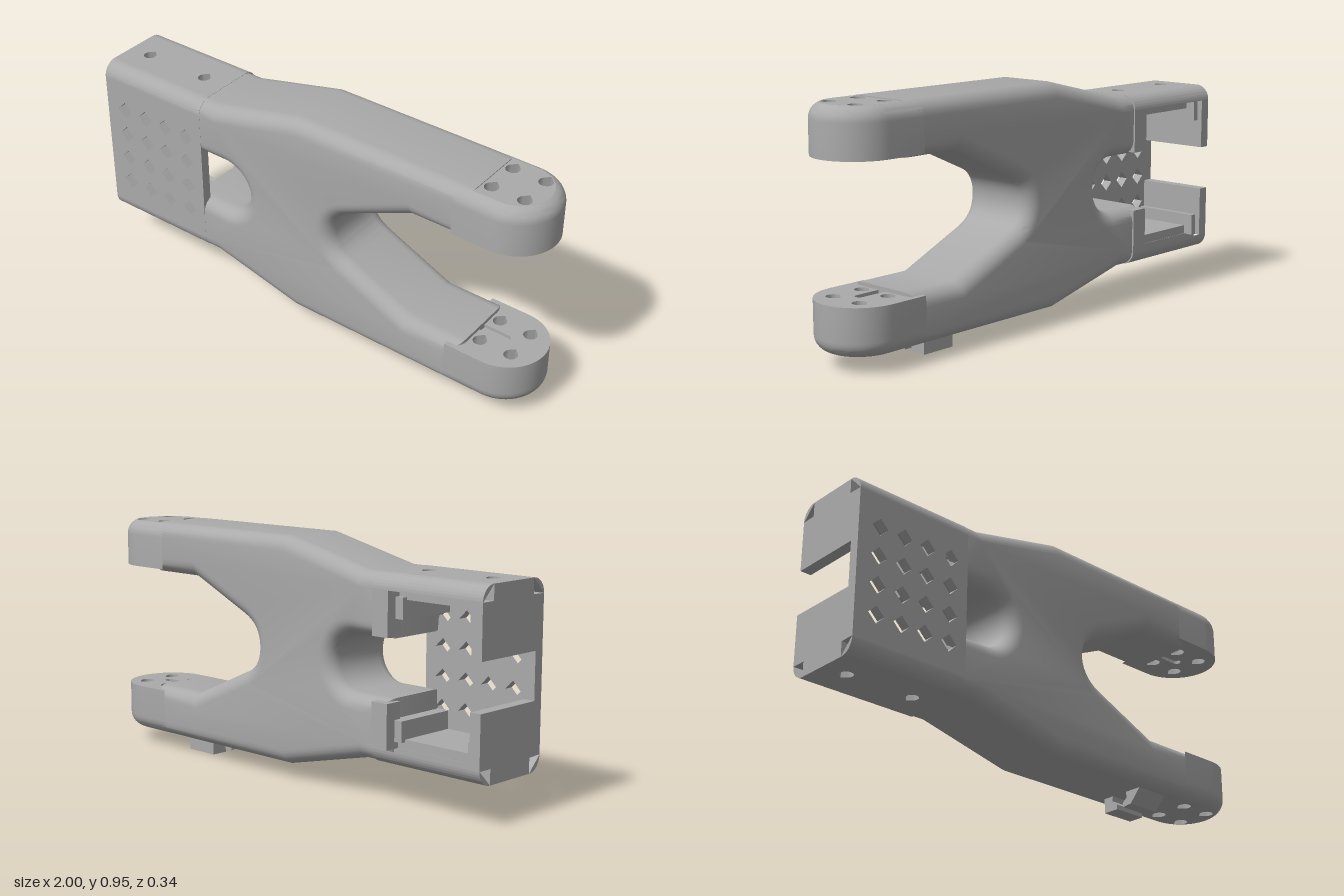
import * as THREE from 'three';
import { toCreasedNormals } from 'three/addons/utils/BufferGeometryUtils.js';

const MID = 0.505;      // height of the horizontal mirror plane
const ZC = 0.0025;      // middle of the body depth
const HALF = 0.168;     // half depth of the body
const R = 0.06;         // edge rounding
const TIP_X = 0.832;    // centre of the rounded arm tip
const TIP_START = 0.67;

const grey = new THREE.MeshStandardMaterial({ color: 0xaaaaaa });
grey.name = 'grey plastic';

export function createModel() {
  const model = new THREE.Group();
  model.name = 'forkedBracket';

  const add = (name, geo) => {
    const mesh = new THREE.Mesh(toCreasedNormals(geo, 0.5), grey);
    mesh.name = name;
    model.add(mesh);
  };

  // Copy flipped over the mirror plane, with the corner order put right
  const flipped = (geo) => {
    const g = geo.index ? geo.toNonIndexed() : geo.clone();
    const p = g.attributes.position;
    for (let i = 0; i < p.count; i += 3) {
      const b = [p.getX(i + 1), p.getY(i + 1), p.getZ(i + 1)];
      p.setXYZ(i + 1, p.getX(i + 2), p.getY(i + 2), p.getZ(i + 2));
      p.setXYZ(i + 2, ...b);
    }
    for (let i = 0; i < p.count; i++) p.setY(i, 2 * MID - p.getY(i));
    return g;
  };
  const addPair = (name, geo) => {
    add('lower' + name, geo);
    add('upper' + name, flipped(geo));
  };

  const box = (x0, x1, y0, y1, z0, z1) =>
    new THREE.BoxGeometry(x1 - x0, y1 - y0, z1 - z0)
      .translate((x0 + x1) / 2, (y0 + y1) / 2, (z0 + z1) / 2);
  const poly = (pts) => new THREE.Shape(pts.map(([x, y]) => new THREE.Vector2(x, y)));
  const extrude = (shape, depth) =>
    new THREE.ExtrudeGeometry(shape, { depth, bevelEnabled: false, curveSegments: 16 });
  // Plan shape (x, z) as a slab between two heights
  const slab = (shape, y0, y1) => extrude(shape, y1 - y0).rotateX(Math.PI / 2).translate(0, y1, 0);
  // Side shape (-z, y) run along x
  const along = (shape, x0, x1) => extrude(shape, x1 - x0).rotateY(Math.PI / 2).translate(x0, 0, 0);
  // Round hole with a pointed back edge
  const teardrop = (x, z, r) => {
    const pts = [[x, z - r * 1.4]];
    for (let i = 0; i <= 14; i++) {
      const a = -Math.PI / 4 + (i / 14) * Math.PI * 1.5;
      pts.push([x + r * Math.cos(a), z + r * Math.sin(a)]);
    }
    return poly(pts);
  };

  // Main forked body with rounded edges
  const b = new THREE.Shape();
  b.moveTo(-0.56, 0.155);
  b.lineTo(-0.44, 0.155);
  b.lineTo(-0.04, 0.06);
  b.lineTo(0.73, 0.06);
  b.lineTo(0.73, 0.265);
  b.lineTo(0.49, 0.265);
  b.lineTo(0.2, 0.395);
  b.quadraticCurveTo(0.125, 0.43, 0.125, MID);
  b.quadraticCurveTo(0.125, 0.58, 0.2, 0.615);
  b.lineTo(0.49, 0.745);
  b.lineTo(0.73, 0.745);
  b.lineTo(0.73, 0.95);
  b.lineTo(-0.04, 0.95);
  b.lineTo(-0.44, 0.855);
  b.lineTo(-0.56, 0.855);
  b.lineTo(-0.56, 0.615);
  b.lineTo(-0.39, 0.615);
  b.absarc(-0.39, MID, 0.11, Math.PI / 2, -Math.PI / 2, true);
  b.lineTo(-0.56, 0.395);
  const body = new THREE.ExtrudeGeometry(b, {
    depth: 2 * (HALF - R), bevelThickness: R, bevelSize: R, bevelOffset: -R,
    bevelSegments: 7, curveSegments: 14,
  });
  add('forkBody', body.translate(0, 0, ZC - HALF + R));

  // Arm tips: drilled core, grooved pad and a rounded skirt
  const CORE = 0.128;
  const stadium = () => {
    const s = new THREE.Shape();
    s.moveTo(TIP_START, -CORE);
    s.lineTo(TIP_X, -CORE);
    s.absarc(TIP_X, 0, CORE, -Math.PI / 2, Math.PI / 2, false);
    s.lineTo(TIP_START, CORE);
    for (const dx of [-0.067, 0.067])
      for (const z of [-0.07, 0.07]) s.holes.push(teardrop(TIP_X + dx, z, 0.027));
    return s;
  };
  const core = stadium();
  const start = Math.asin((CORE - HALF + R) / R);
  const yCore = 0.06 + R - R * Math.cos(start);
  const pad = stadium();
  const groove = new THREE.Path();
  groove.moveTo(0.685, -0.018);
  groove.lineTo(0.835, -0.018);
  groove.absarc(0.835, 0, 0.018, -Math.PI / 2, Math.PI / 2, false);
  groove.lineTo(0.685, 0.018);
  pad.holes.push(groove);
  addPair('TipCore', slab(core, yCore, 0.236).translate(0, 0, ZC));
  addPair('TipPad', slab(pad, 0.236, 0.25).translate(0, 0, ZC));

  const profile = [];
  for (let i = 0; i <= 7; i++) {
    const a = start + (i / 7) * (Math.PI / 2 - start);
    profile.push([HALF - R + R * Math.sin(a), 0.06 + R - R * Math.cos(a)]);
  }
  profile.push([HALF, 0.25], [CORE, 0.25]);
  const pos = [], idx = [], N = 24, row = N + 3;
  profile.forEach(([d, y], j) => {
    pos.push(TIP_START, y, ZC - d);
    for (let i = 0; i <= N; i++) {
      const a = -Math.PI / 2 + (i / N) * Math.PI;
      pos.push(TIP_X + d * Math.cos(a), y, ZC + d * Math.sin(a));
    }
    pos.push(TIP_START, y, ZC + d);
    if (j) for (let i = 0; i < row - 1; i++) {
      const c = j * row + i, p = c - row;
      idx.push(p, c, p + 1, p + 1, c, c + 1);
    }
  });
  const skirt = new THREE.BufferGeometry();
  skirt.setAttribute('position', new THREE.Float32BufferAttribute(pos, 3));
  skirt.setIndex(idx);
  addPair('TipSkirt', skirt);

  // Front panel with a grid of diamond holes
  const panel = poly([[-1, 0.214], [-0.5, 0.214], [-0.5, 0.796], [-1, 0.796]]);
  for (const x of [-0.905, -0.795, -0.69, -0.58])
    for (const y of [0.325, 0.44, 0.555, 0.67])
      panel.holes.push(poly([[x - 0.035, y], [x, y - 0.035], [x + 0.035, y], [x, y + 0.035]]));
  add('ventPanel', extrude(panel, 0.04).translate(0, 0, 0.131));

  // Box walls with screw holes and rounded long edges
  const wall = poly([[-1, -0.112], [-0.5, -0.112], [-0.5, 0.111], [-1, 0.111]]);
  for (const x of [-0.9, -0.61]) wall.holes.push(teardrop(x, 0.01, 0.025));
  addPair('Wall', slab(wall, 0.154, 0.214));
  const quarter = (a0, cz) => {
    const s = new THREE.Shape();
    s.moveTo(-cz, 0.214);
    s.absarc(-cz, 0.214, R, a0, a0 + Math.PI / 2, false);
    return along(s, -1, -0.5);
  };
  addPair('FrontEdge', quarter(Math.PI, 0.111));
  addPair('BackEdge', quarter(-Math.PI / 2, -0.112));

  // Inside of the box: raised floor, ledges, end walls and back lip
  addPair('Floor', box(-0.95, -0.54, 0.214, 0.25, -0.11, 0.135));
  addPair('EndWall', box(-1, -0.955, 0.213, 0.415, -0.172, 0.14));
  addPair('EndLedge', box(-0.956, -0.93, 0.213, 0.3, -0.15, 0.135));
  addPair('InnerLedge', box(-0.61, -0.54, 0.24, 0.32, -0.13, 0.135));
  addPair('BackLip', box(-0.575, -0.5, 0.213, 0.385, -0.172, -0.1));

  // Cable clip hooks under the lower arm
  const hooks = {
    frontClipHook: [[-0.115, 0.07], [-0.105, 0.055], [-0.06, 0.004], [-0.018, 0], [-0.018, 0.02], [-0.038, 0.035], [-0.035, 0.07]],
    backClipHook: [[0.035, 0.07], [0.04, 0.04], [0.015, 0.02], [0.015, 0], [0.083, 0], [0.083, 0.07]],
  };
  for (const [name, pts] of Object.entries(hooks)) add(name, along(poly(pts), 0.46, 0.605));

  return model;
}
